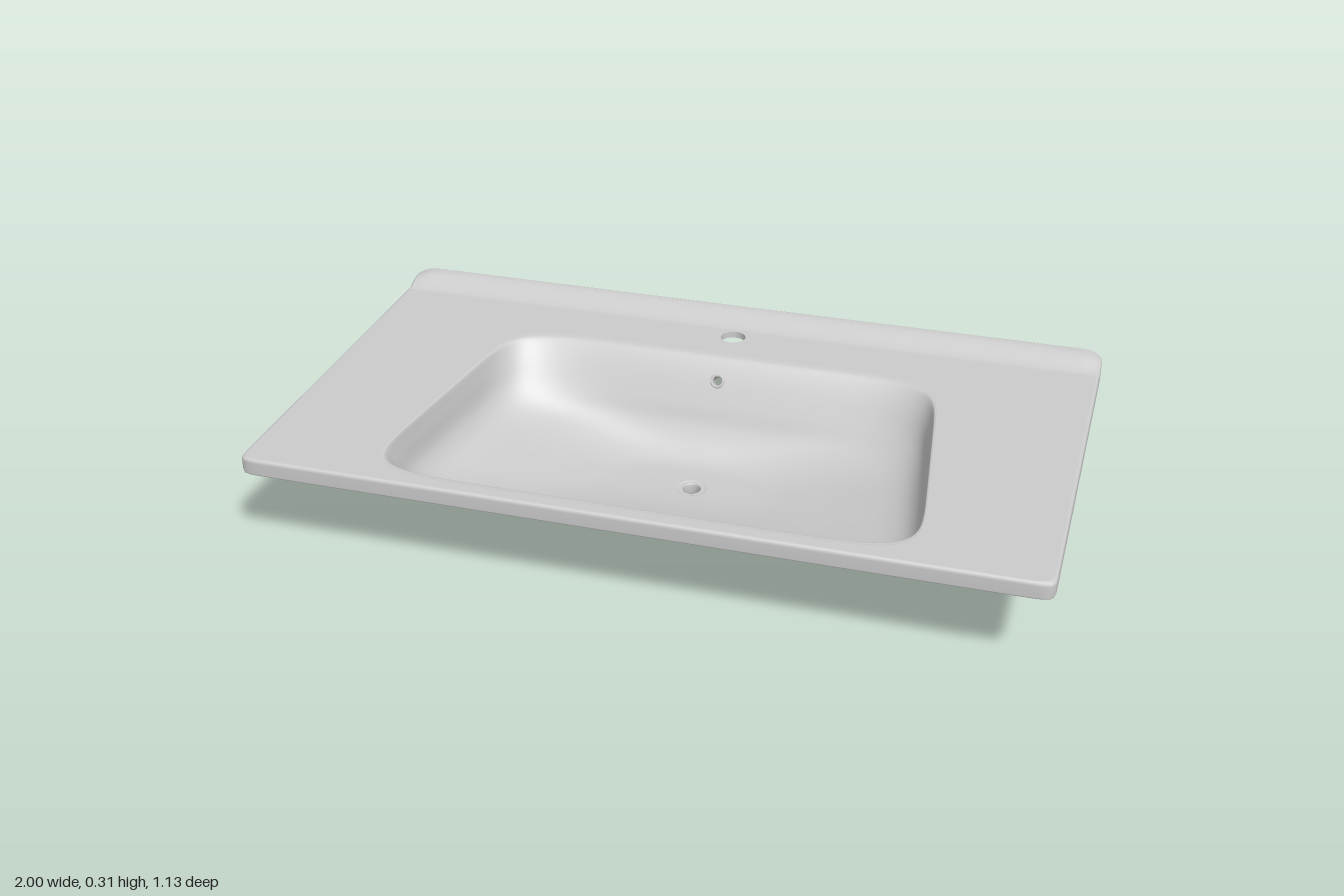
import * as THREE from 'three';

const material = new THREE.MeshStandardMaterial({ color: 0xcccccc, side: THREE.DoubleSide });
const DECK = 0.28, UNDER = 0.262, LIP_START = 0.46;
const OVERFLOW = new THREE.Vector3(0, 0.225, -0.256);

// Superelliptic trapezoid in plan: n sets corner sharpness, ratio = back width / front width
function outline(zF, zB, hw, n, ratio, segments) {
  const points = [];
  for (let i = 0; i < segments; i++) {
    const a = (i / segments) * Math.PI * 2, c = Math.cos(a), s = Math.sin(a);
    const k = Math.pow(Math.abs(c) ** n + Math.abs(s) ** n, -1 / n);
    const u = (1 + k * c) / 2;
    points.push(new THREE.Vector2(hw * (ratio + (1 - ratio) * u) * k * s, zB + (zF - zB) * u));
  }
  return points;
}

// Surface through rows of equally many points; keep() may drop cells
function loft(rows, closed, keep = () => true) {
  const w = rows[0].length, index = [];
  const flat = rows.flat();
  for (let r = 0; r < rows.length - 1; r++) {
    for (let i = 0; i < (closed ? w : w - 1); i++) {
      const j = (i + 1) % w;
      const a = r * w + i, b = r * w + j, c = a + w, d = b + w;
      for (const t of [[a, c, b], [b, c, d]]) {
        const mid = new THREE.Vector3();
        t.forEach((v) => mid.addScaledVector(flat[v], 1 / 3));
        if (keep(mid)) index.push(...t);
      }
    }
  }
  const g = new THREE.BufferGeometry().setFromPoints(flat);
  g.setIndex(index);
  g.computeVertexNormals();
  return g;
}

// Height of the top surface: flat deck rising to the upstand at the back
function topHeight(x, z) {
  const ax = Math.abs(x);
  const rise = THREE.MathUtils.smoothstep(-z, LIP_START, 0.55 - 0.025 * ax ** 12);
  return DECK + rise * (0.03 - 0.012 * THREE.MathUtils.smoothstep(ax, 0.95, 1));
}

const slabLoop = (inset) => outline(0.565 - inset, -0.565 + inset, 1 - inset, 60, 1, 480);

// Flat horizontal sheet with holes
function sheet(loop, holes, y) {
  const flip = (p) => new THREE.Vector2(p.x, -p.y);
  const shape = new THREE.Shape(loop.map(flip));
  holes.forEach((h) => shape.holes.push(new THREE.Path(h.map(flip))));
  return new THREE.ShapeGeometry(shape).rotateX(-Math.PI / 2).translate(0, y, 0);
}

export function createModel() {
  const group = new THREE.Group();
  const add = (name, geometry) => {
    const mesh = new THREE.Mesh(geometry, material);
    mesh.name = name;
    group.add(mesh);
    return mesh;
  };

  // Bowl levels: y, front z, back z, half width, corner sharpness, back/front width ratio
  const levels = [
    [0.28, 0.53, -0.312, 0.694, 8, 0.86],
    [0.274, 0.508, -0.292, 0.688, 8, 0.86],
    [0.235, 0.481, -0.262, 0.681, 7, 0.86],
    [0.165, 0.437, -0.222, 0.665, 5.5, 0.86],
    [0.115, 0.38, -0.197, 0.605, 4.2, 0.86],
    [0.075, 0.27, -0.168, 0.45, 3.4, 0.87],
    [0.05, 0.175, -0.14, 0.32, 3, 0.89],
    [0.036, 0.105, -0.115, 0.23, 2.6, 0.92],
    [0.031, 0.06, -0.085, 0.13, 2.3, 0.96],
    [0.029, 0.02, -0.03, 0.025, 2, 1],
  ];
  const curveA = new THREE.CatmullRomCurve3(levels.map((l) => new THREE.Vector3(l[0], l[1], l[2])), false, 'catmullrom');
  const curveB = new THREE.CatmullRomCurve3(levels.map((l) => new THREE.Vector3(l[3], l[4], l[5])), false, 'catmullrom');
  const bowlRows = [];
  const STEPS = 54;
  for (let i = 0; i <= STEPS; i++) {
    const a = curveA.getPoint(i / STEPS), b = curveB.getPoint(i / STEPS);
    bowlRows.push(outline(a.y, a.z, b.x, b.y, b.z, 480).map((p) => new THREE.Vector3(p.x, a.x, p.y)));
  }
  add('bowl', loft(bowlRows, true, (m) => m.distanceTo(OVERFLOW) > 0.015));

  // Deck, with the bowl opening and the tap hole
  const tapHole = new THREE.Path().absarc(0, -0.42, 0.034, 0, Math.PI * 2).getPoints(32).slice(0, -1);
  const rim = outline(0.53, -0.312, 0.694, 8, 0.86, 480);
  const edge = slabLoop(0.008);
  const deckLoop = edge.map((p) => new THREE.Vector2(p.x, Math.max(p.y, -LIP_START)));
  // drop the repeated points along the straight back of the deck
  const deckOutline = deckLoop.filter((p, i) => p.y > -LIP_START ||
    edge[(i + 479) % 480].y > -LIP_START || edge[(i + 1) % 480].y > -LIP_START);
  add('deck', sheet(deckOutline, [rim, tapHole], DECK));

  // Raised upstand along the back edge
  const backPoints = edge.filter((p) => p.y <= -LIP_START);
  const lipRows = [];
  for (let i = 0; i <= 20; i++) {
    lipRows.push(backPoints.map((p) => {
      const z = THREE.MathUtils.lerp(-LIP_START, p.y, i / 20);
      return new THREE.Vector3(p.x, topHeight(p.x, z), z);
    }));
  }
  add('backUpstand', loft(lipRows, false));

  // Rounded outer rim: inset and height, measured from the top or absolute
  const rimSection = [[0.008, 0, true], [0.003, -0.002, true], [0.0008, -0.005, true], [0, -0.01, true],
    [0, 0.24], [0.001, 0.237], [0.004, 0.235], [0.022, 0.235], [0.026, 0.237], [0.028, 0.242], [0.028, UNDER]];
  add('outerRim', loft(rimSection.map(([inset, y, fromTop]) => slabLoop(inset).map((p, i) =>
    new THREE.Vector3(p.x, fromTop ? topHeight(edge[i].x, edge[i].y) + y : y, p.y))), true));

  // Underside of the deck
  const underRim = outline(0.5, -0.282, 0.686, 8, 0.86, 480);
  add('underside', sheet(slabLoop(0.028), [underRim, tapHole], UNDER));

  // Tap hole wall
  add('tapHoleWall', new THREE.CylinderGeometry(0.034, 0.034, DECK - UNDER, 32, 1, true))
    .position.set(0, (DECK + UNDER) / 2, -0.42);

  // Drain outlet with wall thickness, flaring into the bowl
  const drain = [[0.025, 0.03], [0.022, 0.026], [0.022, 0], [0.027, 0], [0.027, 0.02], [0.03, 0.026], [0.04, 0.031]];
  add('drainOutlet', new THREE.LatheGeometry(drain.map((p) => new THREE.Vector2(...p)), 32))
    .position.z = -0.005;

  // Overflow outlet, square to the back wall of the bowl
  const tube = [[0.013, 0], [0.013, 0.034], [0.017, 0.034], [0.017, 0], [0.013, 0]];
  const overflow = add('overflowOutlet', new THREE.LatheGeometry(tube.map((p) => new THREE.Vector2(...p)), 24));
  overflow.position.copy(OVERFLOW);
  overflow.rotation.x = -2.094;
  const collar = add('overflowCollar', new THREE.TorusGeometry(0.016, 0.004, 8, 24));
  collar.position.copy(OVERFLOW);
  collar.rotation.x = -0.524;

  return group;
}
